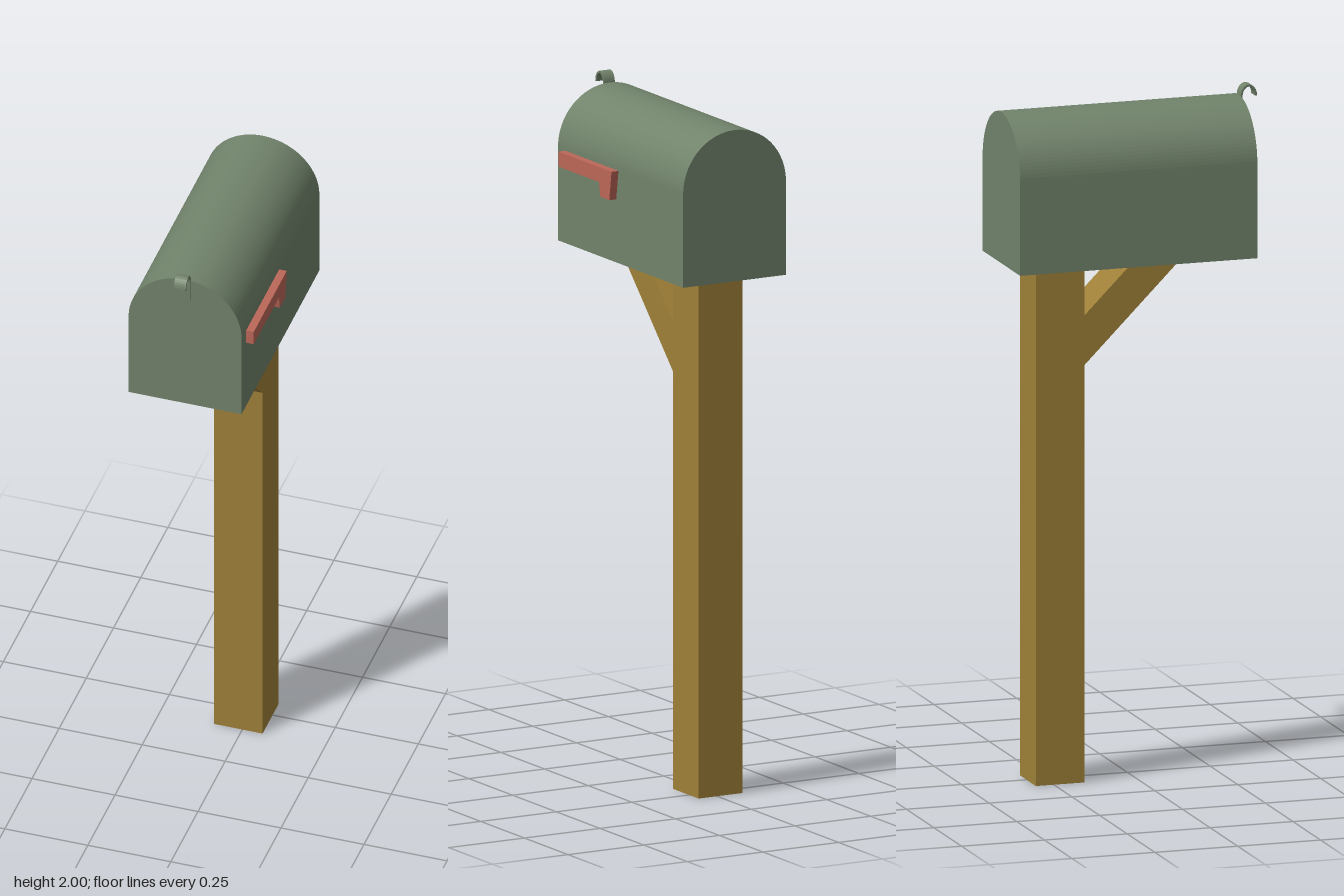
import * as THREE from 'three';

const CX = -0.012; // centre line of post and box

// Extrude a [z, y] outline along x between x0 and x1
function sideExtrude(points, x0, x1) {
  const shape = new THREE.Shape(points.map(([z, y]) => new THREE.Vector2(z, y)));
  const geo = new THREE.ExtrudeGeometry(shape, { depth: x1 - x0, bevelEnabled: false });
  return geo.rotateY(-Math.PI / 2).translate(x1, 0, 0);
}

export function createModel() {
  const group = new THREE.Group();
  const material = (name, color) => {
    const m = new THREE.MeshStandardMaterial({ color });
    m.name = name;
    return m;
  };
  const green = material('green metal', 0x71836b);
  const wood = material('wood', 0x9f8038);
  const red = material('red flag', 0xbc6758);

  const add = (name, geo, mat) => {
    const mesh = new THREE.Mesh(geo, mat);
    mesh.name = name;
    group.add(mesh);
  };

  // Square post
  add('post', new THREE.BoxGeometry(0.146, 1.526, 0.146).translate(CX, 0.763, -0.231), wood);

  // Diagonal brace, as wide as the post
  add('brace', sideExtrude(
    [[-0.158, 1.225], [0.142, 1.525], [-0.004, 1.525], [-0.158, 1.371]],
    CX - 0.073, CX + 0.073), wood);

  // Box with a half-round roof
  const r = 0.17, spring = 1.799, back = -0.384, front = 0.332;
  const arch = new THREE.Shape();
  arch.moveTo(-r, 1.525);
  arch.lineTo(r, 1.525);
  arch.lineTo(r, spring);
  arch.absarc(0, spring, r, 0, Math.PI, false);
  arch.closePath();
  add('mailbox', new THREE.ExtrudeGeometry(arch, {
    depth: front - back, bevelEnabled: false, curveSegments: 24,
  }).translate(CX, 0, back), green);

  // Signal flag on the left wall
  add('flag', sideExtrude(
    [[0.29, 1.752], [0.29, 1.796], [-0.014, 1.796], [-0.001, 1.71], [0.05, 1.71], [0.058, 1.752]],
    0.157, 0.181), red);

  // Door pull: a thin strip bent into a hook
  const outer = [[0.332, 1.9]], inner = [[0.338, 1.9]];
  for (let i = 0; i <= 14; i++) {
    const a = Math.PI * i / 14, c = Math.cos(a), s = Math.sin(a);
    outer.push([0.357 - 0.025 * c, 1.966 + 0.034 * s]);
    inner.push([0.357 - 0.019 * c, 1.966 + 0.028 * s]);
  }
  add('doorPull', sideExtrude([...outer, ...inner.reverse()], CX - 0.018, CX + 0.018), green);

  return group;
}
